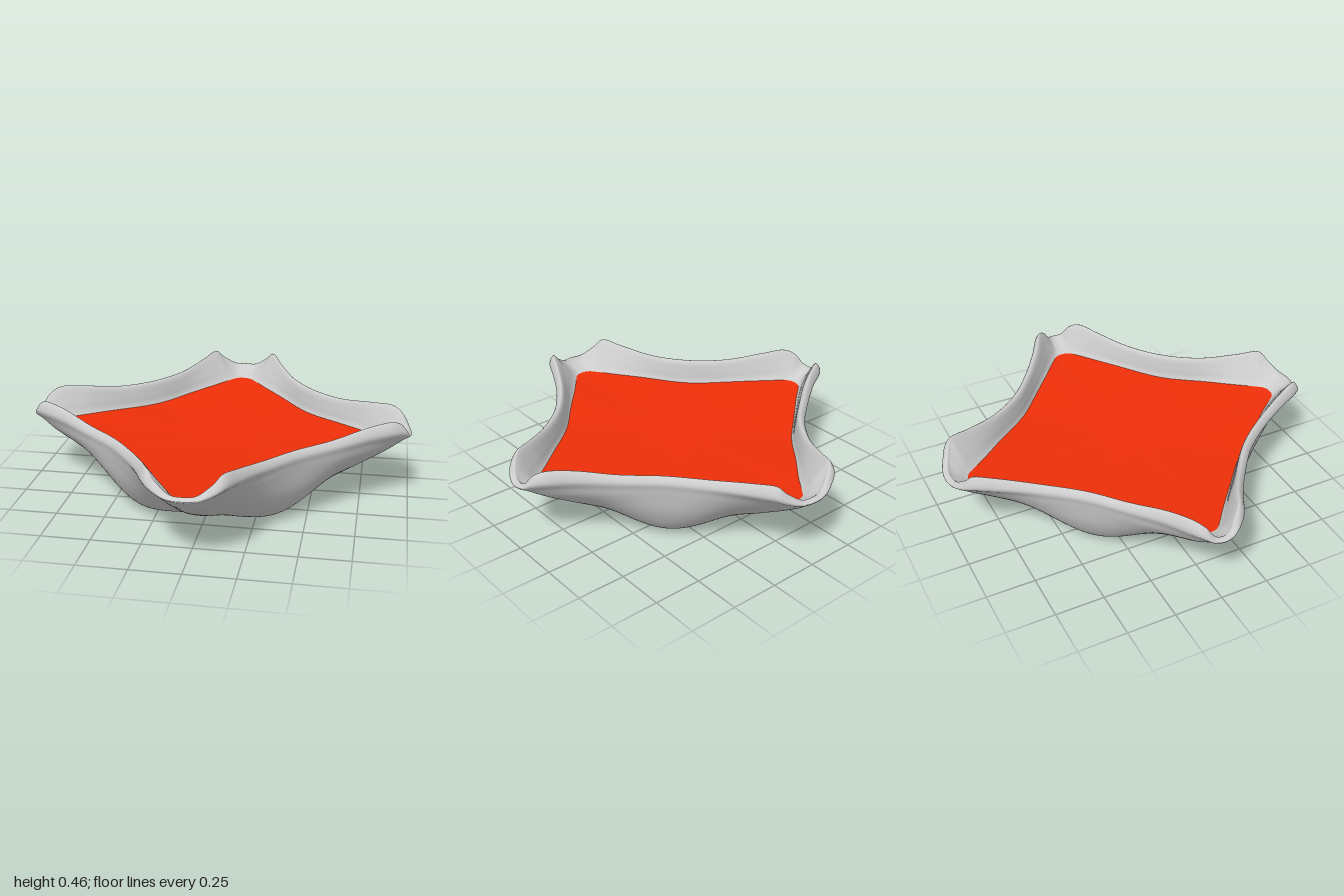
import * as THREE from 'three';

// One quadrant of the rim (x, y, z), from the +x corner towards the +z corner
const RIM = [
  [1, 0.37, 0], [0.992, 0.378, 0.045], [0.967, 0.43, 0.095], [0.915, 0.458, 0.145], [0.8, 0.447, 0.21],
  [0.635, 0.415, 0.325], [0.468, 0.409, 0.465], [0.338, 0.417, 0.635], [0.25, 0.445, 0.8], [0.19, 0.461, 0.925],
  [0.13, 0.41, 0.965], [0.065, 0.373, 0.99], [0, 0.37, 1],
];
// The same quadrant on the level ring where the filling meets the wall
const BELLY = [
  [0.915, 0.3, 0], [0.91, 0.3, 0.04], [0.89, 0.3, 0.078], [0.85, 0.3, 0.115], [0.765, 0.3, 0.185],
  [0.625, 0.3, 0.308], [0.457, 0.3, 0.457], [0.314, 0.3, 0.628], [0.188, 0.3, 0.77], [0.117, 0.3, 0.86],
  [0.078, 0.3, 0.905], [0.04, 0.3, 0.925], [0, 0.3, 0.93],
];
// Underside between foot and belly: height, spread at a corner, spread on a side
const UNDERSIDE = [[0.012, 0.18, 0.2], [0.05, 0.34, 0.45], [0.11, 0.52, 0.68], [0.2, 0.755, 0.89]];
const AROUND = 240, ALONG = 80, FILL_RINGS = 14;
const { lerp } = THREE.MathUtils;

// Closed ring from one quadrant by mirroring
function ring(quarter) {
  const first = quarter.map(p => new THREE.Vector3(...p));
  const second = first.slice(1, -1).reverse().map(p => new THREE.Vector3(-p.x, p.y, p.z));
  const half = [...first, ...second];
  const turned = half.map(p => new THREE.Vector3(-p.x, p.y, -p.z));
  return new THREE.CatmullRomCurve3([...half, ...turned], true, 'centripetal');
}

// Point on a ring, moved level towards the inside and then up
function inset(curve, t, distance, rise) {
  const tangent = curve.getTangent(t).setY(0).normalize();
  const p = curve.getPoint(t);
  return new THREE.Vector3(p.x - tangent.z * distance, p.y + rise, p.z + tangent.x * distance);
}

// Grid surface through rows of points, closed around
function loft(rows) {
  const positions = [], index = [], n = rows[0].length;
  rows.forEach((row, i) => {
    const next = (i + 1) % rows.length;
    row.forEach((q, j) => {
      positions.push(q.x, q.y, q.z);
      if (j === n - 1) return;
      const a = i * n + j, b = next * n + j;
      index.push(a, a + 1, b, a + 1, b + 1, b);
    });
  });
  const geometry = new THREE.BufferGeometry();
  geometry.setAttribute('position', new THREE.Float32BufferAttribute(positions, 3));
  geometry.setIndex(index);
  geometry.computeVertexNormals();
  return geometry;
}

export function createModel() {
  const group = new THREE.Group();
  group.name = 'filledBowl';
  const rim = ring(RIM), belly = ring(BELLY);
  const wallRows = [], fillRows = [];

  for (let i = 0; i < AROUND; i++) {
    const t = i / AROUND;
    const b = belly.getPoint(t);
    const angle = Math.atan2(b.z, b.x);
    const corner = Math.cos(2 * angle) ** 2;
    const footRadius = lerp(0.45, 0.28, corner);
    const foot = new THREE.Vector3(Math.cos(angle) * footRadius, 0, Math.sin(angle) * footRadius);
    const fillEdge = inset(belly, t, 0.05, 0).setY(lerp(0.283, 0.308, corner));
    // The lip rolls inwards more where the rim is higher
    const roll = THREE.MathUtils.clamp((rim.getPoint(t).y - 0.37) / 0.09, 0, 1);
    const outer = inset(rim, t, 0, -0.012 - 0.045 * roll);
    const lip = inset(rim, t, 0.04, -0.012);

    // Wall section: underside, outside, rounded lip, inside, inner floor
    const section = [
      new THREE.Vector3(), foot.clone().multiplyScalar(0.5), foot,
      ...UNDERSIDE.map(([y, c, s]) => foot.clone().lerp(b, lerp(s, c, corner)).setY(y)),
      b, outer.clone().lerp(b, 0.45), outer,
      inset(rim, t, 0.014, -0.003 - 0.009 * roll), inset(rim, t, 0.027, 0), lip,
      lip.clone().lerp(fillEdge, 0.5), fillEdge,
      foot.clone().multiplyScalar(0.9).setY(0.06), new THREE.Vector3(0, 0.06, 0),
    ];
    const row = new THREE.CatmullRomCurve3(section, false, 'centripetal').getPoints(ALONG);
    row.forEach(q => { q.y = Math.max(0, q.y); });
    wallRows.push(row);

    // Filling: nearly level, turned up slightly towards the corners
    fillRows.push(Array.from({ length: FILL_RINGS + 1 }, (_, k) => {
      const s = 1 - k / FILL_RINGS;
      return new THREE.Vector3(fillEdge.x * s, lerp(0.28, fillEdge.y, s ** 4), fillEdge.z * s);
    }));
  }

  const bowl = new THREE.Mesh(loft(wallRows), new THREE.MeshStandardMaterial({ color: 0xcccccc }));
  bowl.name = 'bowl';
  const filling = new THREE.Mesh(loft(fillRows), new THREE.MeshStandardMaterial({ color: 0xee2f08 }));
  filling.name = 'filling';
  group.add(bowl, filling);
  return group;
}
